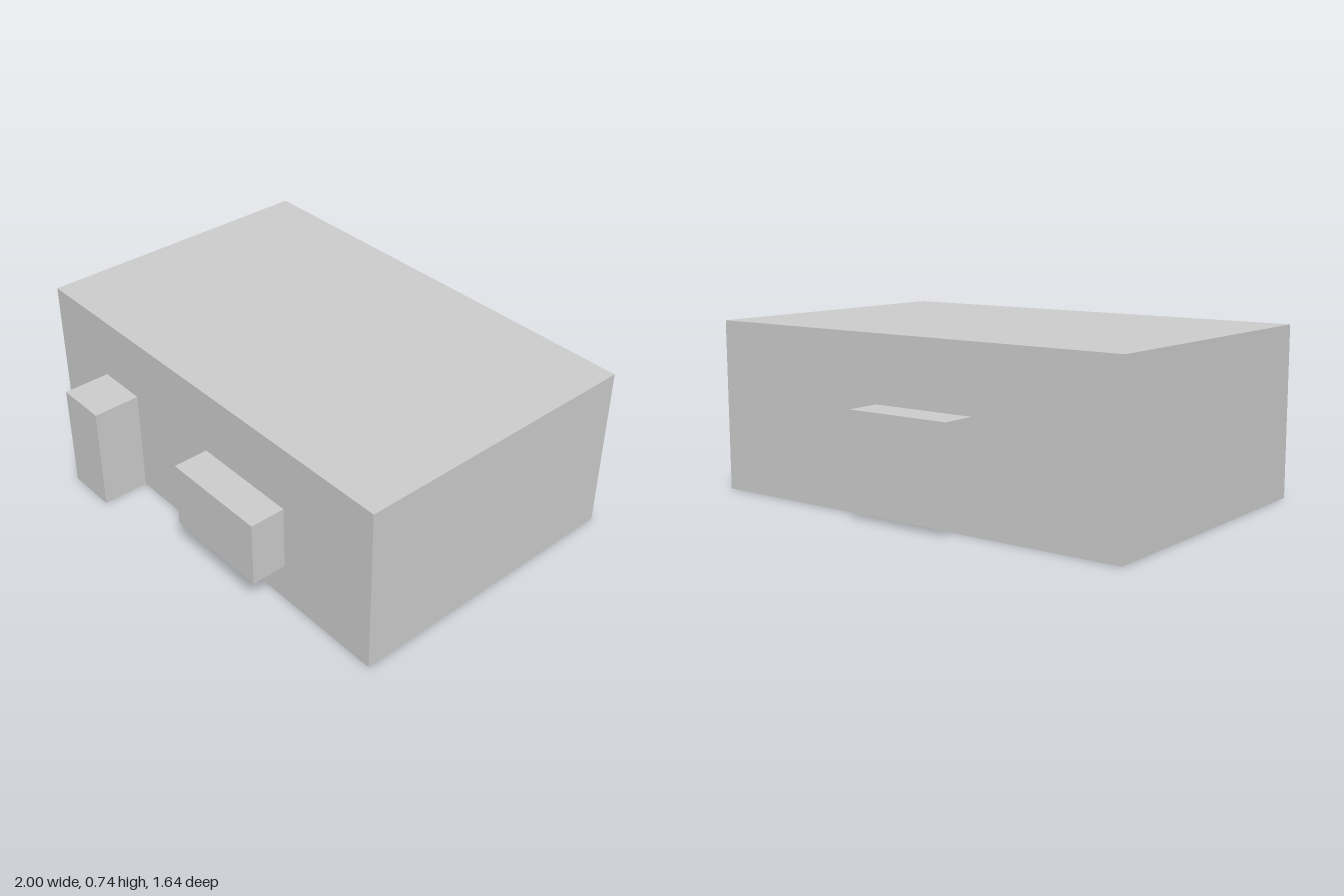
import * as THREE from 'three';

const material = new THREE.MeshStandardMaterial({ color: 0xcccccc, flatShading: true });

// Box given by its [min, max] extent along each axis
function block(name, [x0, x1], [y0, y1], [z0, z1]) {
  const mesh = new THREE.Mesh(new THREE.BoxGeometry(x1 - x0, y1 - y0, z1 - z0), material);
  mesh.position.set((x0 + x1) / 2, (y0 + y1) / 2, (z0 + z1) / 2);
  mesh.name = name;
  return mesh;
}

export function createModel() {
  const group = new THREE.Group();
  group.name = 'house';

  const front = 0.615, back = -0.67;
  const windowHeight = [0.17, 0.455];

  group.add(
    // Main building volume
    block('building', [-1, 1], [0, 0.735], [back, front]),
    // Door block standing on the ground
    block('door', [-0.658, -0.432], [0, 0.462], [front, 0.82]),
    // Projecting windows on the front and back walls
    block('frontWindow', [0.043, 0.519], windowHeight, [front, 0.767]),
    block('backWindow', [-0.341, 0.135], windowHeight, [-0.82, back])
  );
  return group;
}
